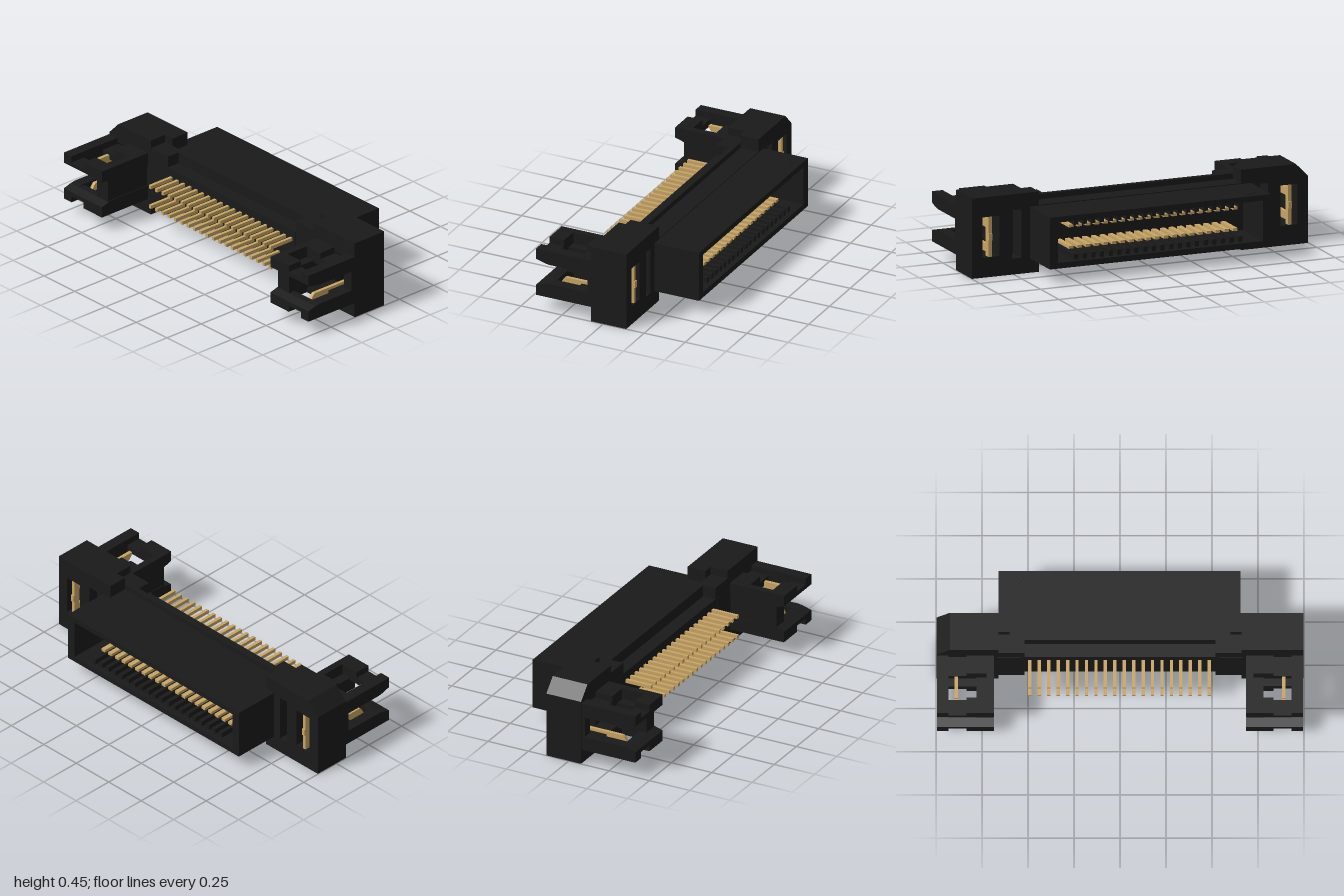
import * as THREE from 'three';

const black = new THREE.MeshStandardMaterial({ color: 0x1a1a1a });
black.name = 'black plastic';
const gold = new THREE.MeshStandardMaterial({ color: 0xc8a464 });
gold.name = 'gold contact';

const MID = 0.225; // height of the horizontal symmetry plane

function add(parent, name, geo, mat = black) {
  const m = new THREE.Mesh(geo, mat);
  m.name = name;
  parent.add(m);
}

// box given by its limits
function box(x0, x1, y0, y1, z0, z1) {
  return new THREE.BoxGeometry(x1 - x0, y1 - y0, z1 - z0)
    .translate((x0 + x1) / 2, (y0 + y1) / 2, (z0 + z1) / 2);
}

const pts = (list) => list.map(([a, b]) => new THREE.Vector2(a, b));
const rect = (x0, x1, y0, y1) => [[x0, y0], [x1, y0], [x1, y1], [x0, y1]];

// outline in x,y with holes, extruded along z
function slab(outline, holes, z0, z1) {
  const s = new THREE.Shape(pts(outline));
  holes.forEach((h) => s.holes.push(new THREE.Path(pts(h))));
  return new THREE.ExtrudeGeometry(s, { depth: z1 - z0, bevelEnabled: false }).translate(0, 0, z0);
}

// outline in z,y extruded along x
function prism(profile, x0, x1) {
  return new THREE.ExtrudeGeometry(new THREE.Shape(pts(profile)), { depth: x1 - x0, bevelEnabled: false })
    .rotateY(-Math.PI / 2).translate(x1, 0, 0);
}

function buildBody(group) {
  const body = new THREE.Group();
  body.name = 'body';
  group.add(body);
  add(body, 'coreBlock', box(-0.66, 0.66, 0.075, 0.375, -0.14, -0.03));
  // front block, cut back along the middle of its long edges
  add(body, 'frontBlock', box(-0.66, 0.66, 0.05, 0.405, -0.03, 0));
  add(body, 'pinBlock', box(-0.52, 0.52, 0.11, 0.34, 0, 0.077));
  for (const s of [-1, 1]) {
    add(body, 'endBlock', box(s * 0.59 - 0.07, s * 0.59 + 0.07, 0.05, 0.405, 0, 0.075));
    add(body, 'endPanel', box(s * 0.605 - 0.065, s * 0.605 + 0.065, 0.12, 0.335, 0.07, 0.077));
  }
}

function buildShroud(group) {
  const shroud = new THREE.Group();
  shroud.name = 'shroud';
  group.add(shroud);
  add(shroud, 'shell', slab(rect(-0.66, 0.655, 0.08, 0.37),
    [rect(-0.61, 0.605, 0.112, 0.338)], -0.41, -0.14));
  // small orientation triangle
  add(shroud, 'cornerMark', new THREE.ExtrudeGeometry(
    new THREE.Shape(pts([[-0.58, 0.37], [-0.52, 0.37], [-0.55, 0.33]])),
    { depth: 0.002, bevelEnabled: false }).rotateX(-Math.PI / 2).translate(0, 0.37, 0));
}

function buildContacts(group) {
  const pins = new THREE.Group();
  pins.name = 'contacts';
  group.add(pins);
  for (let i = 0; i < 20; i++) {
    const x = -0.49 + i * 0.0513;
    for (const s of [-1, 1]) {
      const y = MID + s * 0.06;
      add(pins, 'pin', box(x - 0.009, x + 0.009, y - 0.01, y + 0.01, 0.07, 0.235), gold);
      add(pins, 'contactStrip', box(x - 0.0135, x + 0.0135, y - 0.008, y + 0.008, -0.31, -0.13), gold);
      // ribs on the floor and ceiling of the cavity
      const r = MID + s * 0.1;
      add(pins, 'rib', box(x - 0.012, x + 0.012, r - 0.018, r + 0.018, -0.38, -0.13));
    }
  }
}

// mounting ear and latch arm at one end
function buildEnd(group, s) {
  const end = new THREE.Group();
  end.name = s > 0 ? 'leftEnd' : 'rightEnd';
  group.add(end);
  const X = (a, b) => (s > 0 ? [a, b] : [-b, -a]);
  const outline = (inner) => {
    const top = s < 0 ? [[0.998, 0.375], [0.925, 0.45]] : [[0.998, 0.45]];
    return [[inner, 0], [0.998, 0], ...top, [inner, 0.45]].map(([x, y]) => [x * s, y]);
  };
  const slot = rect(...X(0.835, 0.935), 0.112, 0.338);
  const pocket = rect(...X(0.705, 0.76), 0.09, 0.36);
  add(end, 'earBack', slab(outline(0.6), [slot, pocket], -0.14, -0.03));
  add(end, 'earFront', slab(outline(0.66), [slot], -0.03, 0.075));

  // two forked plates, one above and one below the middle
  for (const up of [1, -1]) {
    const flip = (p) => p.map(([z, y]) => [z, up > 0 ? y : 2 * MID - y]);
    const tip = [[0.36, 0.288], [0.41, 0.303], [0.41, 0.365]];
    const side = flip([[0.07, 0.283], [0.33, 0.283], ...tip, [0.07, 0.365]]);
    const front = flip([[0.32, 0.288], ...tip, [0.32, 0.365]]);
    // thinner bridges in line with the slot
    const frontLow = flip([[0.32, 0.288], [0.36, 0.288], [0.41, 0.303], [0.41, 0.328], [0.32, 0.328]]);
    add(end, 'armInnerBar', prism(side, ...X(0.685, 0.725)));
    add(end, 'armOuterBar', prism(side, ...X(0.932, 0.995)));
    add(end, 'armFrontBar', prism(front, ...X(0.725, 0.835)));
    add(end, 'armFrontBridge', prism(frontLow, ...X(0.835, 0.932)));
    add(end, 'armRearBar', prism(flip(rect(0.07, 0.18, 0.288, 0.365)), ...X(0.725, 0.835)));
    add(end, 'armRearBridge', prism(flip(rect(0.07, 0.18, 0.288, 0.328)), ...X(0.835, 0.932)));
    // bevelled contact tine
    const tine = [[-0.11, 0.272], [0.28, 0.272], [0.29, 0.281], [0.305, 0.305], [0.305, 0.315], [-0.11, 0.315]];
    add(end, 'tine', prism(flip(tine), ...X(0.88, 0.9)), gold);
  }
  add(end, 'armInnerWall', box(...X(0.69, 0.78), 0.15, 0.3, 0.07, 0.36));
  add(end, 'armRoot', box(...X(0.937, 0.995), 0.16, 0.29, 0.07, 0.097));

  // blade joining the tines, with a small tab behind
  add(end, 'blade', box(...X(0.88, 0.9), 0.112, 0.338, -0.138, -0.1), gold);
  add(end, 'bladeTab', box(...X(0.88, 0.9), 0.205, 0.245, -0.145, -0.138), gold);
}

export function createModel() {
  const group = new THREE.Group();
  group.name = 'connector';
  buildBody(group);
  buildShroud(group);
  buildContacts(group);
  for (const s of [1, -1]) buildEnd(group, s);
  return group;
}
